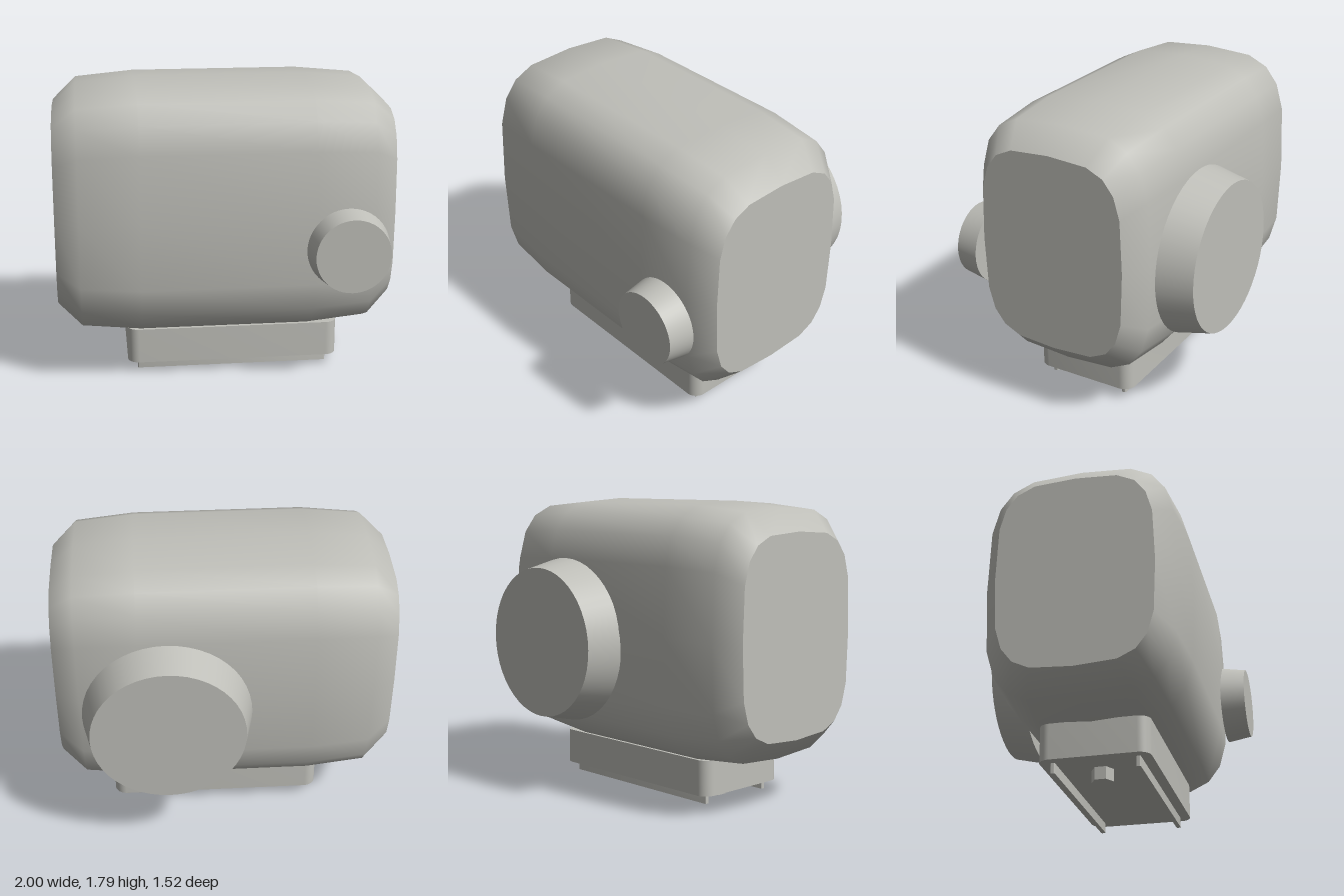
import * as THREE from 'three';
import { toCreasedNormals } from 'three/addons/utils/BufferGeometryUtils.js';

const SIDES = 20;

// Rounded-square ring in the yz plane
function ring(x, halfZ, halfY) {
  const soft = (v) => Math.sign(v) * Math.pow(Math.abs(v), 0.54);
  return Array.from({ length: SIDES }, (_, j) => {
    const t = (j / SIDES) * Math.PI * 2;
    return [x, 1.031 + halfY * soft(Math.sin(t)), 0.03 + halfZ * soft(Math.cos(t))];
  });
}

function geometryFrom(points, index) {
  const g = new THREE.BufferGeometry();
  g.setAttribute('position', new THREE.Float32BufferAttribute(points.flat(), 3));
  g.setIndex(index);
  g.computeVertexNormals();
  return g;
}

// Skin between successive rings
function loft(rings) {
  const index = [];
  for (let i = 0; i < rings.length - 1; i++) {
    for (let j = 0; j < SIDES; j++) {
      const k = (j + 1) % SIDES;
      const a = i * SIDES + j, b = a + SIDES, c = i * SIDES + k, d = c + SIDES;
      index.push(a, b, c, b, d, c);
    }
  }
  return geometryFrom(rings.flat(), index);
}

// Flat end closing a ring
function cap(points, side) {
  const index = [];
  for (let j = 1; j < SIDES - 1; j++) {
    if (side > 0) index.push(0, j + 1, j);
    else index.push(0, j, j + 1);
  }
  return geometryFrom(points, index);
}

// Horizontal slab with rounded vertical corners, standing on y = 0
function slab(width, depth, height, r) {
  const w = width / 2, d = depth / 2;
  const s = new THREE.Shape();
  s.moveTo(-w + r, -d);
  s.lineTo(w - r, -d);
  s.absarc(w - r, -d + r, r, -Math.PI / 2, 0, false);
  s.lineTo(w, d - r);
  s.absarc(w - r, d - r, r, 0, Math.PI / 2, false);
  s.lineTo(-w + r, d);
  s.absarc(-w + r, d - r, r, Math.PI / 2, Math.PI, false);
  s.lineTo(-w, -d + r);
  s.absarc(-w + r, -d + r, r, Math.PI, Math.PI * 1.5, false);
  const g = new THREE.ExtrudeGeometry(s, { depth: height, bevelEnabled: false, curveSegments: 6 });
  g.rotateX(-Math.PI / 2);
  return toCreasedNormals(g, 0.6);
}

export function createModel() {
  const model = new THREE.Group();
  model.name = 'opticalSight';
  const grey = new THREE.MeshStandardMaterial({ color: 0xbfbfb9 });
  grey.name = 'light grey';

  const add = (name, geometry, x = 0, y = 0, z = 0) => {
    const mesh = new THREE.Mesh(geometry, grey);
    mesh.name = name;
    mesh.position.set(x, y, z);
    model.add(mesh);
    return mesh;
  };

  // Housing: soft barrel narrowing towards flat ends
  const rings = [
    [-1, 0.46, 0.595], [-0.86, 0.557, 0.727], [-0.51, 0.585, 0.758],
    [0.51, 0.585, 0.758], [0.86, 0.557, 0.727], [1, 0.46, 0.595],
  ].map((r) => ring(...r));
  add('housing', loft(rings));
  add('rightEnd', cap(rings[0], -1));
  add('leftEnd', cap(rings[rings.length - 1], 1));

  // Tapered front knob and large rear drum
  const frontKnob = new THREE.CylinderGeometry(0.22, 0.245, 0.15, 48);
  frontKnob.rotateX(Math.PI / 2);
  add('frontKnob', frontKnob, 0.7, 0.85, 0.683);

  const rearDrum = new THREE.CylinderGeometry(0.45, 0.498, 0.21, 48);
  rearDrum.rotateX(-Math.PI / 2);
  add('rearDrum', rearDrum, 0.35, 0.94, -0.653);

  // Mounting base with two rails and a hexagonal stud
  add('mountBase', slab(1.29, 0.645, 0.215, 0.07), 0.055, 0.075, 0.033);
  for (const [name, z] of [['frontRail', 0.28], ['rearRail', -0.213]]) {
    add(name, slab(1.17, 0.028, 0.065, 0.009), 0.055, 0.014, z);
  }
  add('hexStud', new THREE.CylinderGeometry(0.065, 0.065, 0.08, 6).toNonIndexed(), -0.355, 0.04, 0.034)
    .geometry.computeVertexNormals();

  return model;
}
